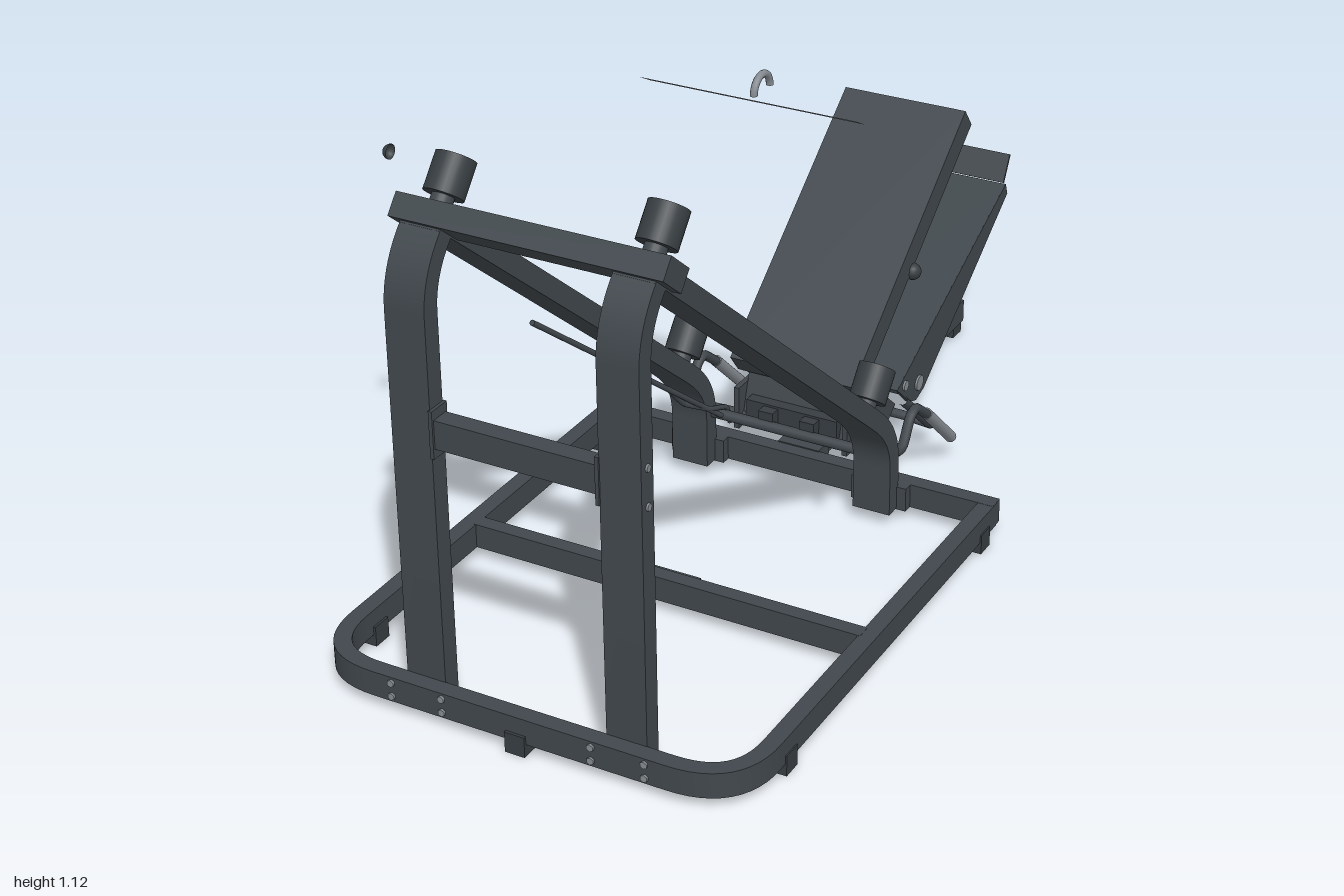
import * as THREE from 'three';
import { toCreasedNormals } from 'three/addons/utils/BufferGeometryUtils.js';

const mat = (name, color, side = THREE.FrontSide) => {
  const m = new THREE.MeshStandardMaterial({ color, side });
  m.name = name;
  return m;
};

export function createModel() {
  const root = new THREE.Group();
  root.name = 'legPressMachine';
  const frame = mat('charcoal frame', 0x40474c);
  const rubber = mat('dark rubber', 0x373d41);
  const steel = mat('grey steel', 0x858b91, THREE.DoubleSide);

  const add = (name, geo, m = frame) => {
    const mesh = new THREE.Mesh(geo, m);
    mesh.name = name;
    root.add(mesh);
    return mesh;
  };
  // Box with optional tilt about x
  const box = (name, size, pos, m = frame, tilt = 0) => {
    const b = add(name, new THREE.BoxGeometry(...size), m);
    b.position.set(...pos);
    b.rotation.x = tilt;
    return b;
  };
  // Cylinder between two points
  const rod = (name, a, b, r, m = frame, sides = 20) => {
    const p = new THREE.Vector3(...a), q = new THREE.Vector3(...b);
    const c = add(name, new THREE.CylinderGeometry(r, r, p.distanceTo(q), sides), m);
    c.position.copy(p).add(q).multiplyScalar(0.5);
    c.quaternion.setFromUnitVectors(new THREE.Vector3(0, 1, 0), q.sub(p).normalize());
    return c;
  };
  const tube = (name, pts, r, m = frame) => add(name, new THREE.TubeGeometry(
    new THREE.CatmullRomCurve3(pts.map(p => new THREE.Vector3(...p)), false, 'catmullrom', 0.25), 40, r, 10), m);
  // Outline of constant thickness around a 2D path
  const ribbon = (path, t) => {
    const p = path.getPoints(12);
    const left = [], right = [];
    p.forEach((c, i) => {
      const d = p[Math.min(i + 1, p.length - 1)].clone().sub(p[Math.max(i - 1, 0)]).normalize();
      const n = new THREE.Vector2(-d.y, d.x).multiplyScalar(t / 2);
      left.push(c.clone().add(n));
      right.unshift(c.clone().sub(n));
    });
    return new THREE.Shape([...left, ...right]);
  };
  const extrude = (shape, depth) => toCreasedNormals(
    new THREE.ExtrudeGeometry(shape, { depth, bevelEnabled: false }), 0.6);
  // Side profile (z, y) extruded across x, centred on x
  const profile = (name, shape, x, width, m = frame) => {
    const g = extrude(shape, width);
    g.translate(0, 0, -width / 2).rotateY(-Math.PI / 2).translate(x, 0, 0);
    return add(name, g, m);
  };
  const poly = pts => new THREE.Shape(pts.map(p => new THREE.Vector2(...p)));

  // Floor frame with rounded front corners
  const loop = new THREE.Path();
  loop.moveTo(-0.463, -0.16);
  loop.lineTo(-0.463, 0.8);
  loop.lineTo(-0.463, 0.825);
  loop.quadraticCurveTo(-0.463, 0.963, -0.325, 0.963);
  loop.lineTo(-0.3, 0.963);
  loop.lineTo(0.3, 0.963);
  loop.lineTo(0.325, 0.963);
  loop.quadraticCurveTo(0.463, 0.963, 0.463, 0.825);
  loop.lineTo(0.463, 0.8);
  loop.lineTo(0.463, -0.16);
  add('floorFrame', extrude(ribbon(loop, 0.036), 0.055).rotateX(Math.PI / 2).translate(0, 0.082, 0));
  box('rearCrossbar', [0.96, 0.055, 0.036], [0, 0.055, -0.16]);
  box('middleCrossbar', [0.9, 0.055, 0.034], [0, 0.055, 0.415]);
  box('middlePlate', [0.14, 0.05, 0.008], [0, 0.055, 0.394]);
  box('rearBeam', [0.05, 0.055, 0.83], [0, 0.055, -0.583]);
  box('beamJoint', [0.1, 0.06, 0.05], [0, 0.055, -0.2]);
  box('beamCap', [0.04, 0.045, 0.012], [0, 0.055, -0.994], rubber);
  box('stopPeg', [0.05, 0.025, 0.05], [0, 0.095, -0.866]);
  rod('stopPin', [0, 0.1, -0.88], [0, 0.125, -0.88], 0.01);
  for (const [x, z] of [[0, 0.965], [0, -0.97], [-0.462, 0.785], [0.462, 0.785], [-0.462, -0.1], [0.462, -0.1]]) {
    box('foot', [0.044, 0.045, 0.044], [x, 0.023, z], rubber);
  }

  // Upright and sloping rail on each side
  const upright = new THREE.Path();
  upright.moveTo(0.925, 0.04);
  upright.lineTo(0.925, 0.86);
  upright.quadraticCurveTo(0.925, 0.945, 0.85, 1.01);
  const rail = new THREE.Path();
  rail.moveTo(0.87, 1.025);
  rail.lineTo(0.0, 0.308);
  rail.lineTo(-0.02, 0.291);
  rail.bezierCurveTo(-0.075, 0.245, -0.106, 0.2, -0.106, 0.14);
  rail.lineTo(-0.106, 0.03);
  const slope = Math.atan2(0.717, 0.87);
  const up = [0, Math.cos(slope), -Math.sin(slope)];
  for (const s of [-1, 1]) {
    profile('upright', ribbon(upright, 0.042), s * 0.222, 0.087);
    profile('slopingRail', ribbon(rail, 0.042), s * 0.222, 0.087);
    box('uprightPlate', [0.008, 0.1, 0.05], [s * 0.176, 0.625, 0.925]);
    box('railFootPlate', [0.13, 0.055, 0.03], [s * 0.222, 0.055, -0.135]);
    // Bumpers stand square to the rail
    for (const [y, z] of [[1.03, 0.81], [0.305, -0.05]]) {
      const at = d => [s * 0.222, y + up[1] * d, z + up[2] * d];
      rod('bumperBase', at(-0.03), at(0.015), 0.022);
      rod('bumper', at(0.01), at(0.085), 0.04, rubber, 28);
    }
    // Bolts
    for (const y of [0.04, 0.07]) for (const x of [0.165, 0.28]) {
      rod('frameBolt', [s * x, y, 0.978], [s * x, y, 0.986], 0.008, steel, 6);
    }
    for (const y of [0.585, 0.665]) rod('uprightBolt', [s * 0.264, y, 0.925], [s * 0.27, y, 0.925], 0.008, steel, 6);
    // Loose end caps out to the sides
    const cap = add('endCap', new THREE.SphereGeometry(0.016, 16, 8, 0, Math.PI * 2, 0, Math.PI / 2), rubber);
    cap.material.side = THREE.DoubleSide;
    cap.position.set(s * 0.566, 0.928, 0.483);
    cap.rotation.z = -s * Math.PI / 2;
  }
  box('topCrossbar', [0.57, 0.048, 0.08], [0, 1.013, 0.845], frame, -slope);
  box('uprightCrossbar', [0.35, 0.06, 0.04], [0, 0.625, 0.925]);
  rod('lowerPivotRod', [-0.185, 0.153, -0.115], [0.185, 0.153, -0.115], 0.012);
  rod('linkRod', [-0.145, 0.165, -0.09], [-0.25, 0.628, 0.485], 0.006);

  // Back pad
  const padTilt = Math.atan2(0.433, 0.551);
  box('backPad', [0.296, 0.058, 0.7], [0, 0.479, -0.43], frame, padTilt);
  box('padSupport', [0.06, 0.043, 0.25], [0, 0.295, -0.37], frame, padTilt);
  box('padBracket', [0.05, 0.1, 0.05], [0, 0.24, -0.25], frame, padTilt);

  // Rear tray: top panel with tapered side flanges and an end lip
  const trayTilt = Math.atan2(0.273, 0.572);
  box('trayPanel', [0.28, 0.012, 0.634], [0, 0.291, -0.668], frame, trayTilt);
  for (const s of [-1, 1]) {
    profile('trayFlange', poly([[-0.38, 0.16], [-0.952, 0.433], [-0.963, 0.405], [-0.52, 0.1], [-0.48, 0.088], [-0.445, 0.1]]), s * 0.136, 0.01);
    rod('trayPivotBolt', [s * 0.138, 0.155, -0.418], [s * 0.146, 0.155, -0.418], 0.012, steel, 12);
    rod('trayPivotBolt', [s * 0.138, 0.128, -0.49], [s * 0.146, 0.128, -0.49], 0.018, steel, 12);
  }
  rod('trayPivot', [-0.13, 0.128, -0.485], [0.13, 0.128, -0.485], 0.025);
  box('trayRib', [0.04, 0.03, 0.46], [0, 0.25, -0.69], frame, trayTilt + 0.05);
  box('trayEndLip', [0.28, 0.068, 0.006], [0, 0.47, -0.957], frame, -0.5);

  // Seat carriage and its mounts
  profile('seatCarriage', poly([[-0.15, 0.13], [-0.185, 0.25], [-0.25, 0.245], [-0.405, 0.11], [-0.36, 0.08], [-0.265, 0.15]]), 0, 0.25);
  box('carriageFront', [0.22, 0.06, 0.05], [0, 0.16, -0.165], rubber);
  box('carriageBase', [0.25, 0.025, 0.07], [0, 0.092, -0.29]);
  for (const s of [-1, 1]) {
    box('carriageLug', [0.012, 0.1, 0.07], [s * 0.132, 0.165, -0.17]);
    box('carriageCatch', [0.035, 0.04, 0.03], [s * 0.05, 0.165, -0.13], rubber);

    // Outer handle with grey grip
    tube('handleArm', [[s * 0.12, 0.14, -0.16], [s * 0.235, 0.14, -0.155], [s * 0.258, 0.16, -0.16],
      [s * 0.26, 0.215, -0.19], [s * 0.26, 0.225, -0.22], [s * 0.26, 0.18, -0.28]], 0.011);
    rod('handleGrip', [s * 0.26, 0.185, -0.275], [s * 0.26, 0.06, -0.41], 0.013, steel);
    // Inner bent handle
    tube('innerHandle', [[s * 0.2, 0.2, -0.28], [s * 0.2, 0.075, -0.42], [s * 0.193, 0.058, -0.445],
      [s * 0.17, 0.055, -0.452], [s * 0.12, 0.06, -0.45], [s * 0.03, 0.06, -0.45]], 0.011);
  }
  tube('leverRod', [[-0.145, 0.13, -0.13], [-0.15, 0.17, -0.12], [-0.15, 0.2, -0.05], [-0.175, 0.24, 0.02], [-0.18, 0.31, 0.085]], 0.006);

  // Floating grey strip and arched handle
  const strip = add('greyStrip', new THREE.PlaneGeometry(0.49, 0.051), steel);
  strip.position.set(0, 0.985, 0.042);
  strip.rotation.x = -Math.PI / 2 - Math.atan(0.537);
  const arch = add('archHandle', new THREE.TorusGeometry(0.034, 0.008, 10, 24, Math.PI), steel);
  arch.position.set(0, 0.99, -0.005);
  arch.rotation.y = Math.PI / 2;
  return root;
}
